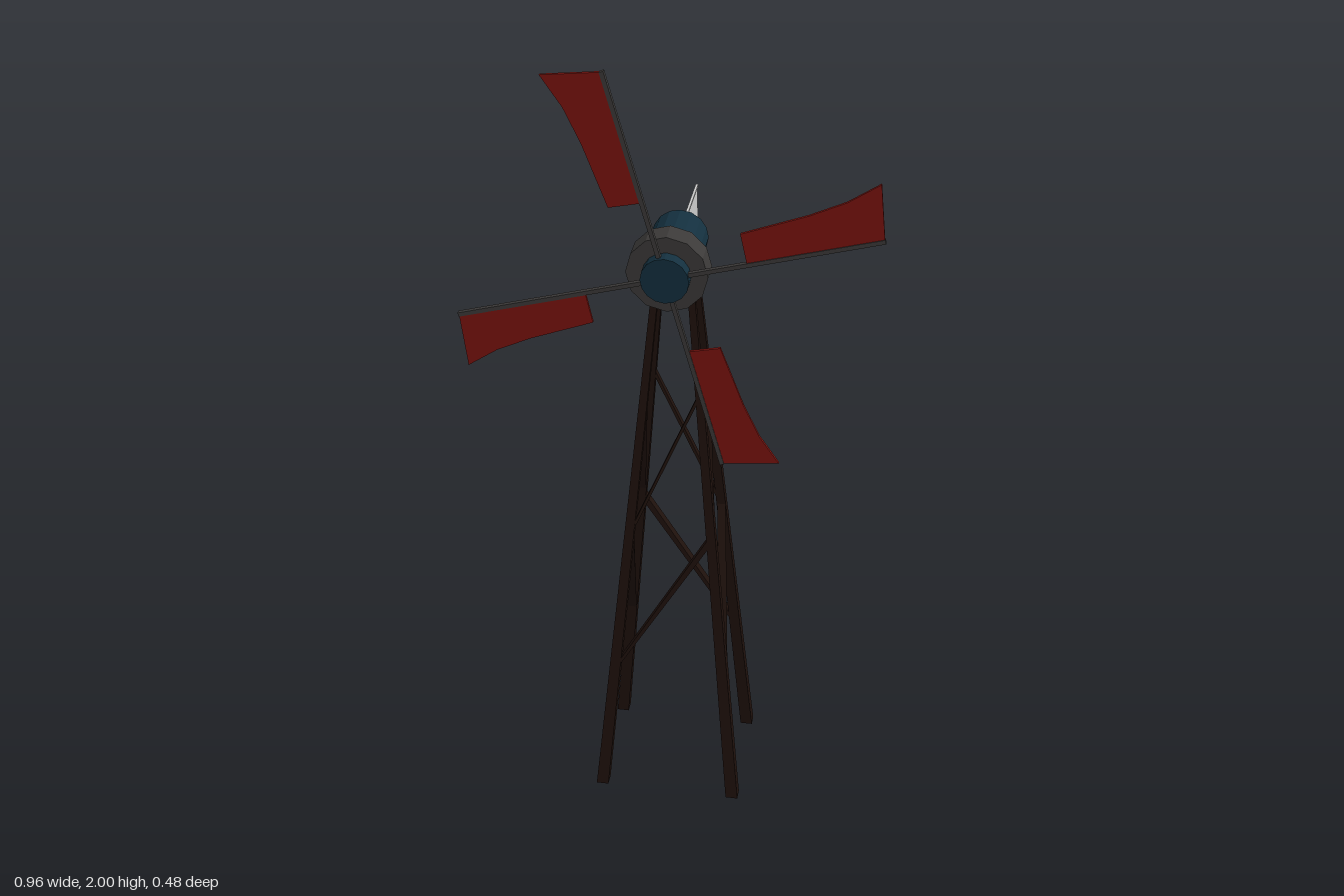
import * as THREE from 'three';

const V = (x, y, z) => new THREE.Vector3(x, y, z);
const mat = (color, extra = {}) =>
  new THREE.MeshStandardMaterial({ color, flatShading: true, ...extra });

const wood = mat(0x1f110c);
const blue = mat(0x14303f);
const iron = mat(0x3c3a39);
const red = mat(0x7d140f);
const grey = mat(0xcccccc);

const HUB_Y = 1.52;
const TOWER_Z = 0.08;

function add(parent, name, geometry, material) {
  const mesh = new THREE.Mesh(geometry, material);
  mesh.name = name;
  parent.add(mesh);
  return mesh;
}

// Tapered bar from a to b; p and q are the section's axes, sized [p, q] at each end
function bar(a, b, p, q, sizeA, sizeB) {
  const dir = b.clone().sub(a);
  const side = q.clone();
  if (p.dot(dir.clone().cross(side)) < 0) side.negate();
  const geo = new THREE.BoxGeometry(1, 1, 1);
  const pos = geo.attributes.position;
  for (let i = 0; i < pos.count; i++) {
    const atB = pos.getY(i) > 0;
    const size = atB ? sizeB : sizeA;
    const v = (atB ? b : a).clone()
      .addScaledVector(p, pos.getX(i) * size[0])
      .addScaledVector(side, pos.getZ(i) * size[1]);
    pos.setXYZ(i, v.x, v.y, v.z);
  }
  geo.computeVertexNormals();
  return geo;
}

// Flat plate from an outline, centred on its own thickness
function plate(points, depth) {
  const shape = new THREE.Shape(points.map(([x, y]) => new THREE.Vector2(x, y)));
  return new THREE.ExtrudeGeometry(shape, { depth, bevelEnabled: false })
    .translate(0, 0, -depth / 2);
}

// Solid of revolution along z from [radius, z] pairs, listed back to front
function turned(profile, sides) {
  const points = profile.map(([r, z]) => new THREE.Vector2(r, z));
  return new THREE.LatheGeometry(points, sides).rotateX(Math.PI / 2);
}

// Centre line of a leg at height y
function legPoint([sx, sz], y) {
  const t = y / 1.47;
  return V(
    sx * THREE.MathUtils.lerp(0.172, 0.038, t),
    y,
    TOWER_Z + sz * THREE.MathUtils.lerp(0.146, 0.03, t)
  );
}

function createTower() {
  const tower = new THREE.Group();
  tower.name = 'tower';
  const X = V(1, 0, 0), Y = V(0, 1, 0), Z = V(0, 0, 1);
  // Corners in order, so the braces wind around the tower
  const corners = [[-1, 1], [1, 1], [1, -1], [-1, -1]];
  corners.forEach((corner, i) => {
    const next = corners[(i + 1) % 4];
    add(tower, 'leg',
      bar(legPoint(corner, 0), legPoint(corner, 1.47), X, Z, [0.031, 0.031], [0.016, 0.016]), wood);
    const normal = i % 2 ? X : Z;
    add(tower, 'lowerBrace',
      bar(legPoint(corner, 0.37), legPoint(next, 0.78), normal, Y, [0.024, 0.014], [0.02, 0.03]), wood);
    add(tower, 'upperBrace',
      bar(legPoint(corner, 0.77), legPoint(next, 1.17), normal, Y, [0.018, 0.018], [0.014, 0.018]), wood);
  });
  return tower;
}

function createRotor() {
  const rotor = new THREE.Group();
  rotor.name = 'rotor';
  const sail = [[0.188, 0.003], [0.494, 0.003], [0.515, 0.132], [0.435, 0.105], [0.347, 0.09], [0.192, 0.076]];
  for (let i = 0; i < 4; i++) {
    const blade = new THREE.Group();
    blade.name = 'blade';
    add(blade, 'spar', new THREE.BoxGeometry(0.495, 0.01, 0.011).translate(0.2475, 0, 0), iron);
    add(blade, 'sail', plate(sail, 0.007), red);
    blade.rotation.z = THREE.MathUtils.degToRad(15.5 + 90 * i);
    rotor.add(blade);
  }
  rotor.position.z = 0.222;
  return rotor;
}

function createHead() {
  const head = new THREE.Group();
  head.name = 'head';
  // Housing with chamfered back
  add(head, 'housing',
    turned([[0, -0.008], [0.052, -0.008], [0.065, 0.012], [0.065, 0.16], [0, 0.16]], 16), blue);
  add(head, 'collar',
    turned([[0, 0.148], [0.093, 0.148], [0.093, 0.205], [0, 0.205]], 12), iron);
  add(head, 'hub',
    turned([[0, 0.2], [0.055, 0.2], [0.055, 0.236], [0, 0.236]], 16), blue);
  head.add(createRotor());
  // Tail rod and vane
  add(head, 'tailRod', new THREE.BoxGeometry(0.006, 0.006, 0.23).translate(0, 0.011, -0.115), grey);
  const vane = [[0.055, 0.014], [0.055, -0.052], [0.15, -0.062], [0.235, -0.082], [0.222, 0.014]];
  add(head, 'tailVane', plate(vane, 0.004).rotateY(Math.PI / 2), grey);
  head.position.y = HUB_Y;
  return head;
}

export function createModel() {
  const model = new THREE.Group();
  model.name = 'windmill';
  model.add(createTower(), createHead());
  return model;
}
